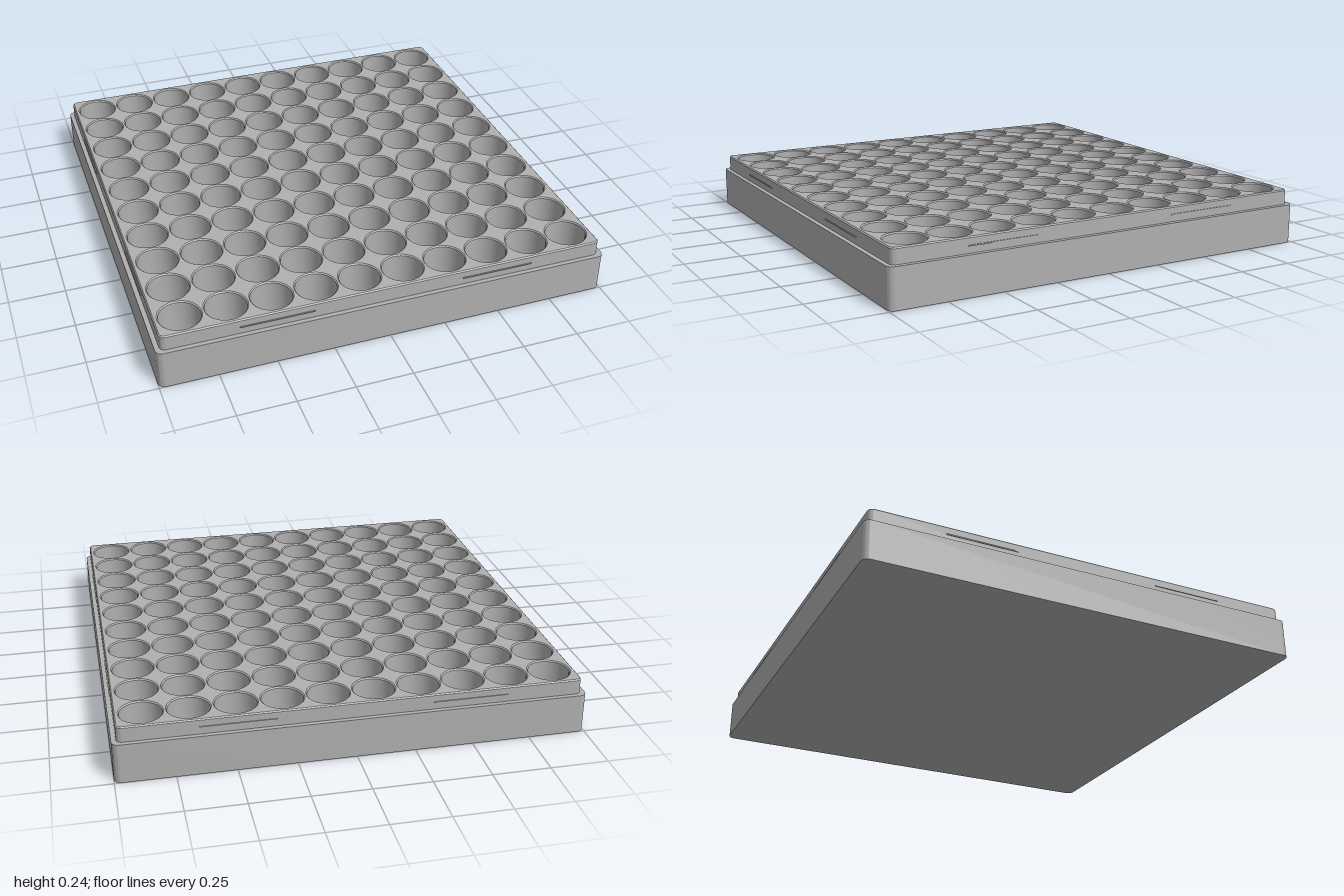
import * as THREE from 'three';
import { toCreasedNormals } from 'three/addons/utils/BufferGeometryUtils.js';

const GRID = 10, PITCH = 0.1935, WELL_RADIUS = 0.093;
const BASE_TOP = 0.175, TOP = 0.243, FLOOR = 0.03, CHAMFER = 0.005;

// Square outline with rounded corners, h = half width
function roundedSquare(h, r, Type = THREE.Shape) {
  const s = new Type(), c = h - r;
  s.absarc(c, c, r, 0, Math.PI / 2);
  s.absarc(-c, c, r, Math.PI / 2, Math.PI);
  s.absarc(-c, -c, r, Math.PI, Math.PI * 1.5);
  s.absarc(c, -c, r, Math.PI * 1.5, Math.PI * 2);
  s.closePath();
  return s;
}

// Extrude a plan outline upwards from y0 to y1, with optional chamfer
function slab(shape, y0, y1, chamfer = 0, curveSegments = 6) {
  const geo = new THREE.ExtrudeGeometry(shape, {
    depth: y1 - y0 - 2 * chamfer, curveSegments,
    bevelEnabled: chamfer > 0, bevelSize: chamfer, bevelThickness: chamfer, bevelSegments: 1,
  });
  geo.rotateX(-Math.PI / 2);
  geo.translate(0, y0 + chamfer, 0);
  return toCreasedNormals(geo, 0.5);
}

export function createModel() {
  const model = new THREE.Group();
  model.name = 'vialRack';
  const grey = new THREE.MeshStandardMaterial({ color: 0xb0b0b0 });
  grey.name = 'grey plastic';
  const add = (name, geo, parent = model) => {
    const mesh = new THREE.Mesh(geo, grey);
    mesh.name = name;
    parent.add(mesh);
    return mesh;
  };

  // Outer wall of the base, with the ledge on top
  const wall = roundedSquare(1, 0.03);
  wall.holes.push(roundedSquare(0.975, 0.02, THREE.Path));
  add('baseWall', slab(wall, 0, BASE_TOP));

  // Floor closing the underside and the wells
  add('baseFloor', slab(roundedSquare(0.975, 0.02), 0, FLOOR));

  // Raised block pierced by the grid of chamfered round wells
  const block = roundedSquare(0.98 - CHAMFER, 0.02);
  for (let i = 0; i < GRID; i++) {
    for (let j = 0; j < GRID; j++) {
      const well = new THREE.Path();
      const x = (i - (GRID - 1) / 2) * PITCH, y = (j - (GRID - 1) / 2) * PITCH;
      well.absarc(x, y, WELL_RADIUS, 0, Math.PI * 2, true);
      block.holes.push(well);
    }
  }
  add('wellBlock', slab(block, FLOOR - CHAMFER, TOP, CHAMFER, 20));

  // Two thin snap ridges on each side, for a lid
  for (let side = 0; side < 4; side++) {
    const ridges = new THREE.Group();
    ridges.name = 'snapRidges' + (side + 1);
    ridges.rotation.y = side * Math.PI / 2;
    for (const x of [-0.49, 0.49]) {
      const ridge = add('snapRidge', new THREE.BoxGeometry(0.32, 0.005, 0.008), ridges);
      ridge.position.set(x, 0.207, 0.98);
    }
    model.add(ridges);
  }
  return model;
}
